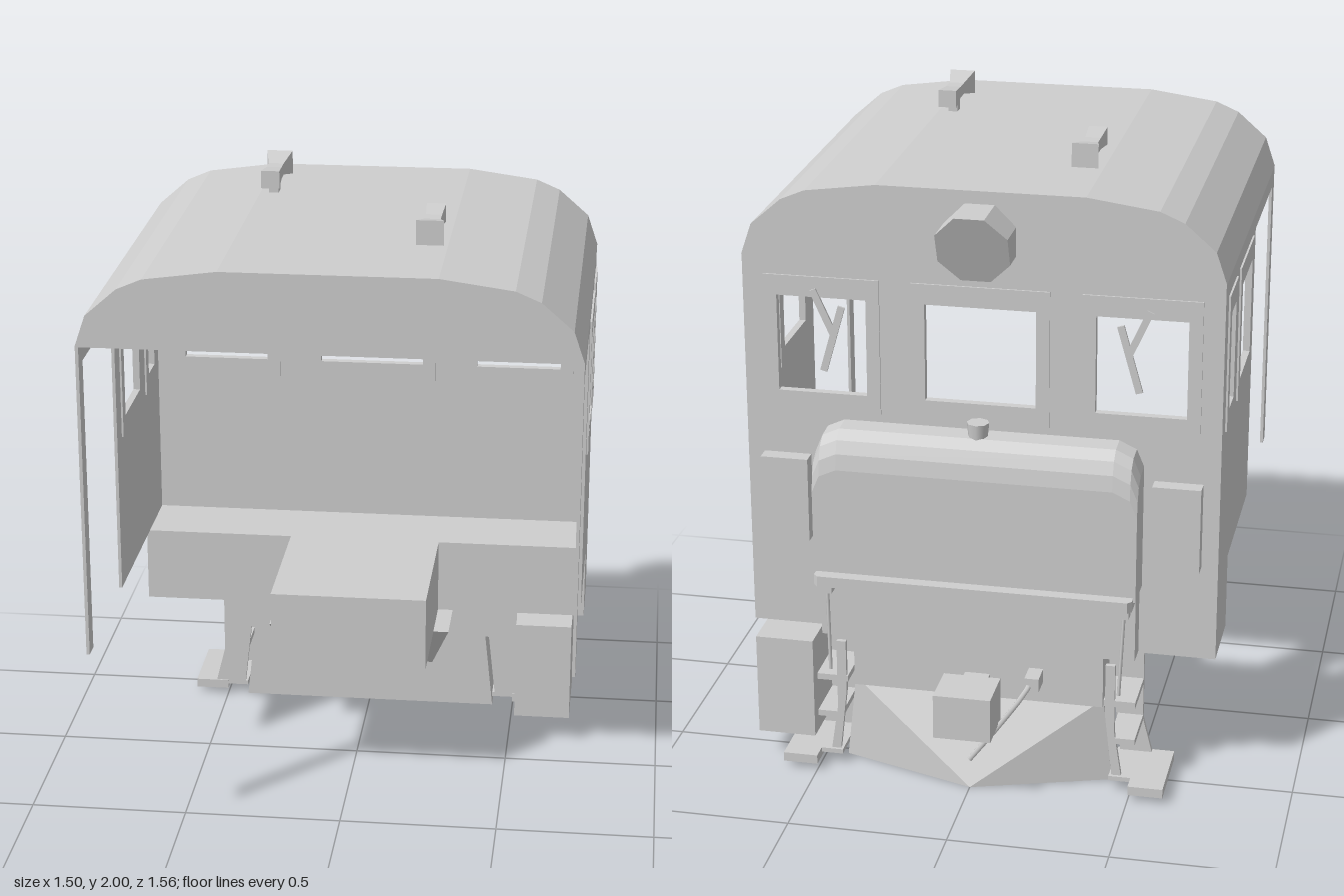
import * as THREE from 'three';
import { ConvexGeometry } from 'three/addons/geometries/ConvexGeometry.js';

const grey = new THREE.MeshStandardMaterial({ color: 0xcecece });
grey.name = 'body grey';

const V = (x, y, z) => new THREE.Vector3(x, y, z);
const T = 0.01; // sheet thickness

export function createModel() {
  const root = new THREE.Group();
  root.name = 'locomotiveCab';

  const add = (name, geo) => {
    const m = new THREE.Mesh(geo, grey);
    m.name = name;
    root.add(m);
    return m;
  };
  // box from its limits
  const box = (name, x0, x1, y0, y1, z0, z1) =>
    add(name, new THREE.BoxGeometry(x1 - x0, y1 - y0, z1 - z0)
      .translate((x0 + x1) / 2, (y0 + y1) / 2, (z0 + z1) / 2));
  const hull = (name, pts) => add(name, new ConvexGeometry(pts));
  const poly = (pts) => new THREE.Shape(pts.map(([a, b]) => new THREE.Vector2(a, b)));
  const rect = ([a0, a1, b0, b1]) => [[a0, b0], [a1, b0], [a1, b1], [a0, b1]];
  const cut = (shape, holes) => {
    holes.forEach((h) => shape.holes.push(poly(rect(h))));
    return shape;
  };
  // plate in the xy plane, starting at z
  const plateXY = (name, shape, z, depth) =>
    add(name, new THREE.ExtrudeGeometry(shape, { depth, bevelEnabled: false }).translate(0, 0, z));
  // plate in the zy plane, with its +x face at x
  const plateZY = (name, shape, x, depth) =>
    add(name, new THREE.ExtrudeGeometry(shape, { depth, bevelEnabled: false })
      .rotateY(-Math.PI / 2).translate(x, 0, 0));

  // solid arched roof with a flat ceiling
  const half = [[0.743, 1.658], [0.71, 1.755], [0.615, 1.838], [0.54, 1.87], [0.32, 1.9]];
  const mirror = (pts) => [...pts, ...pts.map(([x, y]) => [-x, y]).reverse()];
  plateXY('roof', poly(mirror(half)), -0.48, 1.26);

  // windscreen wall with three windows
  const y0 = 1.225, y1 = 1.535;
  const frontWindows = [[-0.635, -0.355, y0, y1], [-0.172, 0.172, y0, y1], [0.355, 0.635, y0, y1]];
  plateXY('windowWall', cut(poly(rect([-0.741, 0.741, 0.43, 1.658])), frontWindows), -0.48, T);
  const frame = ([a0, a1, b0, b1], g) =>
    cut(poly(rect([a0 - g, a1 + g, b0 - 0.06, b1 + 0.065])), [[a0, a1, b0, b1]]);
  frontWindows.forEach((w) => plateXY('frontWindowFrame', frame(w, 0.042), -0.486, 0.026));

  // side walls with windows, open doorway and corner post
  const sideWindows = [[-0.105, 0.145, y0, y1], [-0.37, -0.265, y0, y1]];
  for (const s of [1, -1]) {
    const wall = cut(poly([[-0.48, 0.43], [-0.235, 0.43], [-0.235, 0.675], [0.26, 0.675], [0.26, 1.6],
      [0.725, 1.6], [0.725, 0.675], [0.78, 0.675], [0.78, 1.658], [-0.48, 1.658]]), sideWindows);
    plateZY('sideWall', wall, s > 0 ? 0.742 : -0.742 + T, T);
    sideWindows.forEach((w) => plateZY('sideWindowFrame', frame(w, 0.042),
      s > 0 ? 0.748 : -0.748 + 0.022, 0.022));
  }

  // cab floor: wide front part and centre tongue
  box('floorFront', -0.735, 0.735, 0.43, 0.675, -0.479, -0.235);
  box('floorTongue', -0.25, 0.25, 0.43, 0.675, -0.235, 0.26);

  // sloped chassis block under the floor
  hull('chassis', [-1, 1].flatMap((s) => [V(s * 0.3, 0.43, -0.05), V(s * 0.3, 0.43, -0.41),
    V(s * 0.24, 0.275, -0.145), V(s * 0.24, 0.275, -0.41)]));

  // nose hood: rounded top corners, front top edge rolled over
  const hoodSections = [[-0.475, 1.14], [-0.545, 1.135], [-0.58, 1.11], [-0.597, 1.07], [-0.605, 1.02]];
  hull('noseHood', hoodSections.flatMap(([z, top]) => mirror([[0.507, 0.66], [0.507, top - 0.08],
    [0.484, top - 0.025], [0.43, top]]).map(([x, y]) => V(x, y, z))));
  hull('noseLedge', [0.64, 0.675].flatMap((y) => mirror([[0.5, -0.479], [0.5, -0.63], [0.487, -0.645]])
    .map(([x, z]) => V(x, y, z))));
  box('noseBase', -0.5, 0.5, 0.435, 0.66, -0.555, -0.48);
  add('hoodCap', new THREE.CylinderGeometry(0.035, 0.03, 0.05, 8).translate(0, 1.155, -0.52));

  // pilot plate and pointed plough
  box('pilotPlate', -0.4, 0.4, 0.26, 0.44, -0.545, -0.42);
  hull('plough', [V(0, 0, -0.67), ...[-1, 1].flatMap((s) => [V(s * 0.43, 0, -0.53), V(s * 0.43, 0, -0.41),
    V(s * 0.4, 0.28, -0.53), V(s * 0.4, 0.28, -0.41)])]);
  // back plate with a stepped outline that carries the steps
  plateXY('stepBackPlate', poly(mirror([[0.4, 0.26], [0.415, 0.26], [0.44, 0.035], [0.54, 0.035],
    [0.54, 0.05], [0.51, 0.17], [0.51, 0.43]])), -0.42, 0.015);

  // coupler and brake hose
  box('couplerShank', -0.04, 0.04, 0.26, 0.34, -0.64, -0.5);
  box('coupler', -0.09, 0.09, 0.225, 0.37, -0.78, -0.625);
  const hose = new THREE.CatmullRomCurve3([V(-0.18, 0.35, -0.59), V(-0.17, 0.335, -0.645),
    V(-0.09, 0.22, -0.66), V(0, 0.1, -0.668)]);
  add('brakeHose', new THREE.TubeGeometry(hose, 8, 0.009, 6));
  box('hoseFitting', -0.21, -0.165, 0.33, 0.375, -0.62, -0.54);

  // parts repeated on both sides of the nose
  for (const s of [1, -1]) {
    const span = (name, xa, xb, ...r) => box(name, Math.min(s * xa, s * xb), Math.max(s * xa, s * xb), ...r);
    span('numberBox', 0.54, 0.69, 0.74, 1.015, -0.53, -0.475);
    // steps
    plateXY('frontStringer', poly([[0.415, 0.43], [0.445, 0.43], [0.445, 0.2], [0.47, 0.035],
      [0.44, 0.035], [0.415, 0.26]].map(([x, y]) => [s * x, y])), -0.59, 0.015);
    span('bottomStep', 0.5, 0.61, 0.02, 0.05, -0.655, -0.4);
    span('stepFoot', 0.43, 0.51, 0.035, 0.05, -0.6, -0.405);
    span('middleStep', 0.43, 0.51, 0.16, 0.18, -0.59, -0.41);
    span('upperStep', 0.41, 0.51, 0.29, 0.31, -0.59, -0.41);
    // grab rod below the ledge
    const rod = new THREE.LineCurve3(V(s * 0.47, 0.61, -0.587), V(s * 0.46, 0.34, -0.608));
    add('grabRod', new THREE.TubeGeometry(rod, 1, 0.006, 5));
    span('rodBracket', 0.455, 0.485, 0.595, 0.62, -0.595, -0.55);
    // wiper
    const bar = (name, xa, ya, xb, yb) => {
      const m = add(name, new THREE.BoxGeometry(0.022, Math.hypot(xb - xa, yb - ya), 0.008));
      m.position.set(s * (xa + xb) / 2, (ya + yb) / 2, -0.488);
      m.rotation.z = -Math.atan2(s * (xb - xa), yb - ya);
    };
    bar('wiperBlade', 0.49, 1.3, 0.43, 1.51);
    bar('wiperArm', 0.457, 1.42, 0.52, 1.56);
  }

  // equipment box on one side only
  box('equipmentBox', 0.52, 0.705, 0.09, 0.425, -0.6, -0.145);

  // octagonal headlight with a raked face
  const light = [];
  for (let i = 0; i < 8; i++) {
    const a = Math.PI / 8 + i * Math.PI / 4;
    const x = 0.119 * Math.cos(a), dy = 0.119 * Math.sin(a);
    light.push(V(x, 1.75 + dy, -0.475), V(x, 1.75 + dy, -0.588 - dy * 0.42));
  }
  hull('headlight', light);

  // roof horns: square flared bodies on short stems
  const horn = (x, z, dir) => {
    const y = 1.9625;
    const ring = ([d, w, h]) => [[-1, -1], [1, -1], [1, 1], [-1, 1]]
      .map(([i, j]) => V(x + i * w, y + j * h, z + dir * d));
    const sections = [[0, 0.041, 0.0375], [0.09, 0.024, 0.018], [0.14, 0.024, 0.018], [0.23, 0.029, 0.028]];
    for (let i = 0; i < 3; i++) hull('horn', [...ring(sections[i]), ...ring(sections[i + 1])]);
    const zs = z + dir * 0.13;
    box('hornStem', x - 0.015, x + 0.015, 1.89, 1.95, zs - 0.02, zs + 0.02);
  };
  horn(-0.277, -0.26, 1);
  horn(0.273, 0.525, -1);

  return root;
}
